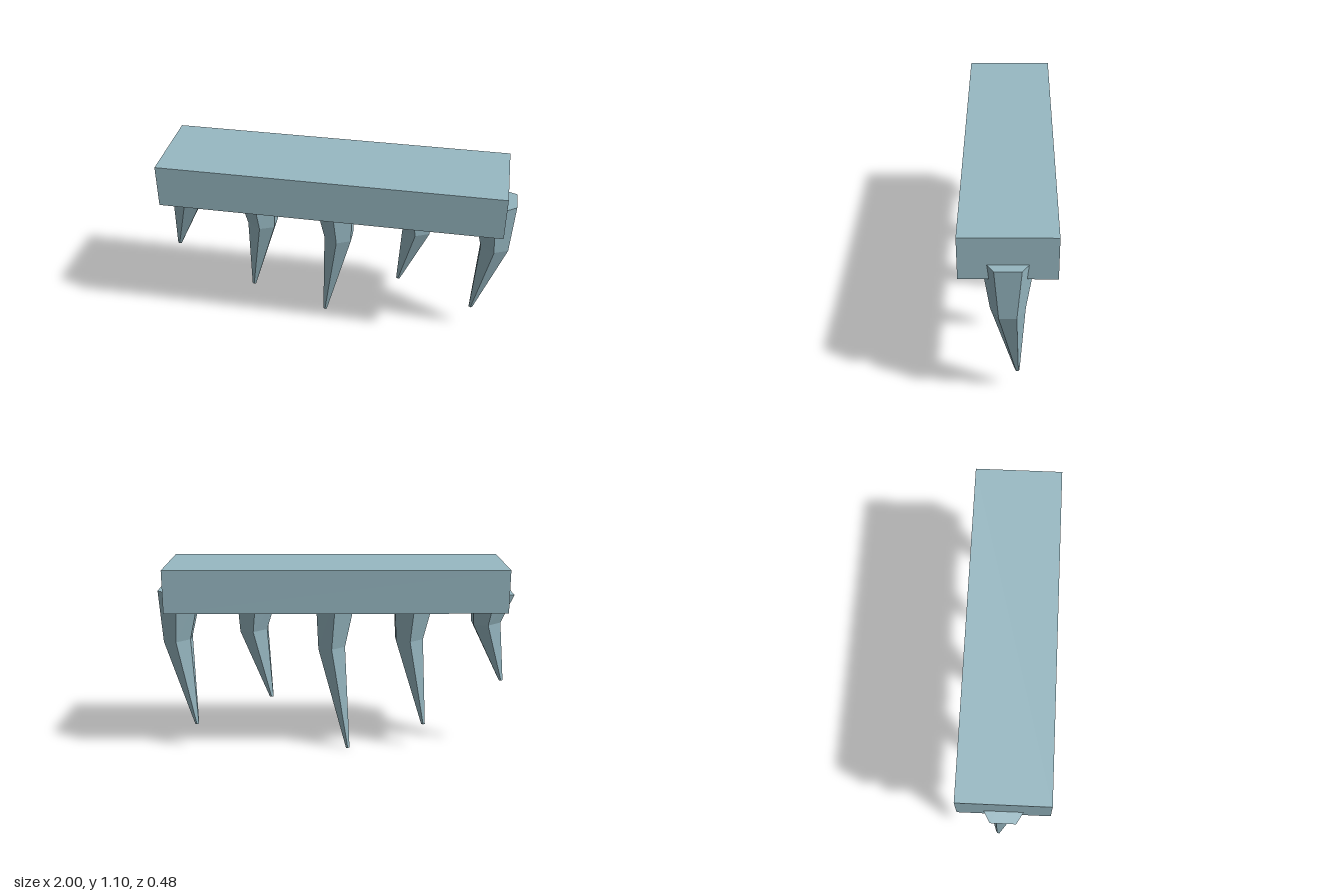
import * as THREE from 'three';

const ice = new THREE.MeshStandardMaterial({ color: 0x98b9c3 });
ice.name = 'paleIce';

// Each icicle: centres [x, y] of its top, bend and tip rings
const ICICLES = [
  [[-0.885, 0.936], [-0.858, 0.752], [-0.955, 0.411]],
  [[-0.443, 0.938], [-0.42, 0.655], [-0.51, 0.147]],
  [[0, 0.938], [0.025, 0.61], [-0.069, 0.002]],
  [[0.443, 0.938], [0.468, 0.715], [0.374, 0.316]],
  [[0.883, 0.938], [0.907, 0.655], [0.814, 0.15]],
];
const RADII = [0.133, 0.088, 0.012];
const SLOPES = [0.1, -0.09, -0.1]; // tilt of each ring along x

// Six-sided bent spike: a three-ring cylinder whose rings are moved and scaled
function makeIcicle(rings) {
  const cylinder = new THREE.CylinderGeometry(1, 1, 2, 6, 2);
  const p = cylinder.attributes.position;
  const backLean = -0.057 * (rings[0][1] - rings[2][1]) / 0.936;
  const ringZ = [0, 0.001, backLean];
  for (let i = 0; i < p.count; i++) {
    const r = Math.round(1 - p.getY(i));
    const dx = p.getX(i) * RADII[r];
    p.setXYZ(i, rings[r][0] + dx, rings[r][1] + dx * SLOPES[r], ringZ[r] + p.getZ(i) * RADII[r]);
  }
  const geometry = cylinder.toNonIndexed(); // faceted sides
  geometry.computeVertexNormals();
  return new THREE.Mesh(geometry, ice);
}

export function createModel() {
  const model = new THREE.Group();
  model.name = 'icicleLedge';

  // Solid ledge the icicles hang from
  const ledge = new THREE.Mesh(new THREE.BoxGeometry(1.88, 0.24, 0.482), ice);
  ledge.name = 'ledge';
  ledge.position.y = 0.98;
  model.add(ledge);

  // Row of icicles, the end ones poking through the ledge sides
  ICICLES.forEach((rings, i) => {
    const icicle = makeIcicle(rings);
    icicle.name = `icicle${i + 1}`;
    model.add(icicle);
  });
  return model;
}
